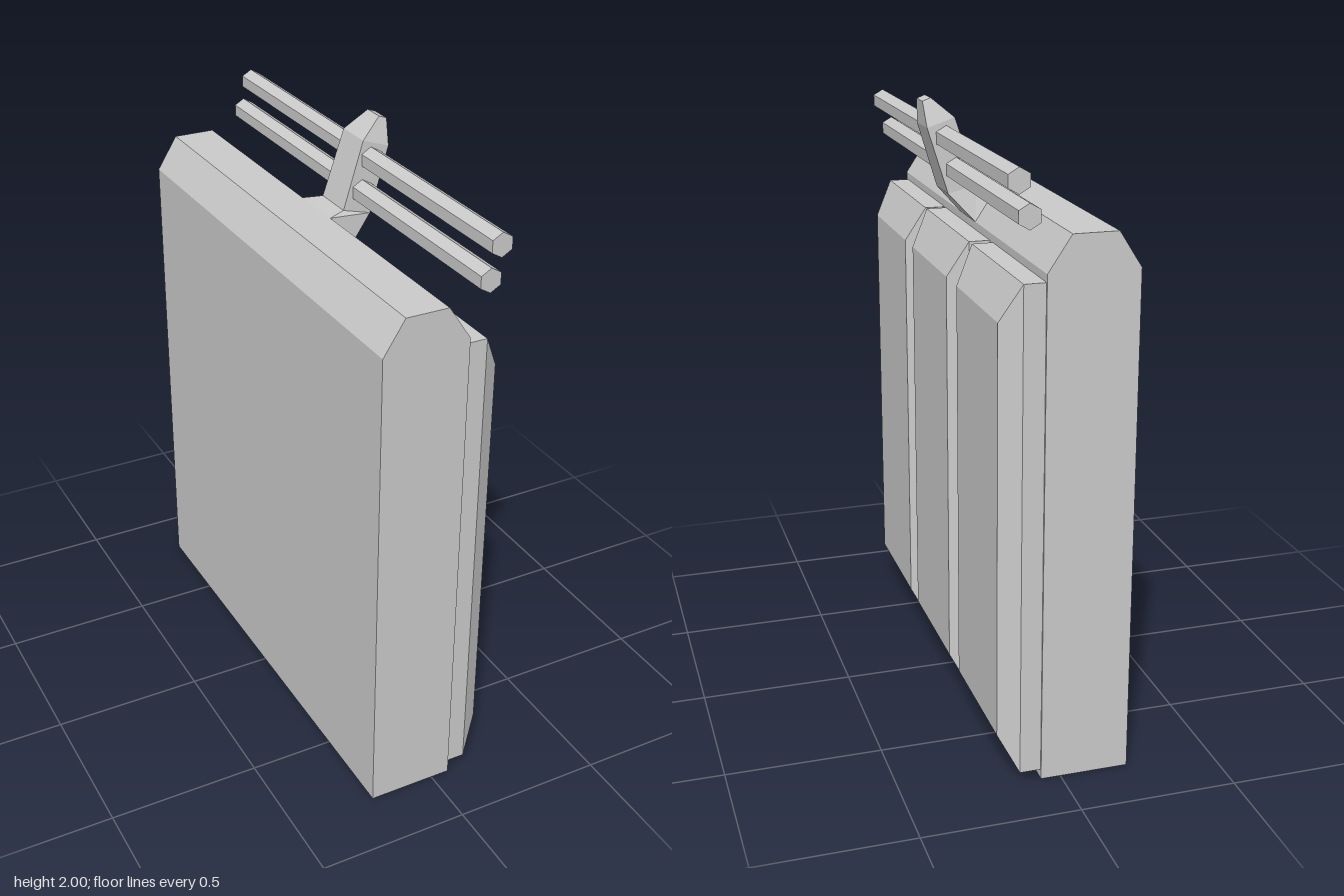
import * as THREE from 'three';

const material = new THREE.MeshStandardMaterial({ color: 0xcccccc, flatShading: true });

// Skin a closed solid through four-cornered sections, counter-clockwise about the direction of travel
function loft(sections) {
  const pos = [];
  const quad = (a, b, c, d) => [a, b, c, a, c, d].forEach(p => pos.push(...p));
  for (let i = 0; i < sections.length - 1; i++) {
    const s = sections[i], t = sections[i + 1];
    for (let j = 0; j < 4; j++) {
      const k = (j + 1) % 4;
      quad(s[j], s[k], t[k], t[j]);
    }
  }
  const [a, b, c, d] = sections[0];
  quad(d, c, b, a);
  quad(...sections[sections.length - 1]);
  const geometry = new THREE.BufferGeometry();
  geometry.setAttribute('position', new THREE.Float32BufferAttribute(pos, 3));
  geometry.computeVertexNormals();
  return geometry;
}

export function createModel() {
  const group = new THREE.Group();
  const add = (name, geometry) => {
    const mesh = new THREE.Mesh(geometry, material);
    mesh.name = name;
    group.add(mesh);
    return mesh;
  };

  // Main slab with chamfered top edges
  const profile = new THREE.Shape([
    [-0.22, 0], [0.063, 0], [0.063, 1.61], [-0.01, 1.72], [-0.15, 1.72], [-0.22, 1.61],
  ].map(p => new THREE.Vector2(...p)));
  const slab = new THREE.ExtrudeGeometry(profile, { depth: 1.61, bevelEnabled: false });
  slab.translate(0, 0, -0.805);
  add('body', slab);

  // Three raised panels with bevelled faces
  const panelSection = (x, z, dy, dz) => {
    const y0 = 0.03 + dy, y1 = 1.585 - dy, z0 = z - 0.257 + dz, z1 = z + 0.257 - dz;
    return [[x, y0, z0], [x, y1, z0], [x, y1, z1], [x, y0, z1]];
  };
  [0.533, 0.003, -0.542].forEach((z, i) => {
    add('panel' + (i + 1), loft([
      panelSection(0.063, z, 0, 0),
      panelSection(0.13, z, 0, 0),
      panelSection(0.192, z, 0.118, 0.043),
    ]));
  });

  // Leaning bracket: inner edge, outer edge and half width of each section
  const bracket = [
    [-0.01, 1.72, 0.063, 1.61, 0.095],
    [0.05, 1.725, 0.145, 1.7, 0.07],
    [0.12, 1.94, 0.21, 1.91, 0.064],
    [0.19, 2.0, 0.217, 1.99, 0.036],
  ].map(([px, py, qx, qy, w]) => [[px, py, -w], [px, py, w], [qx, qy, w], [qx, qy, -w]]);
  add('bracket', loft(bracket));

  // Two hexagonal rails through the bracket
  [[0.117, 1.777], [0.148, 1.878]].forEach(([x, y], i) => {
    const rail = add('rail' + (i + 1), new THREE.CylinderGeometry(0.038, 0.038, 1.62, 6));
    rail.rotation.x = Math.PI / 2;
    rail.position.set(x, y, 0);
  });

  return group;
}
